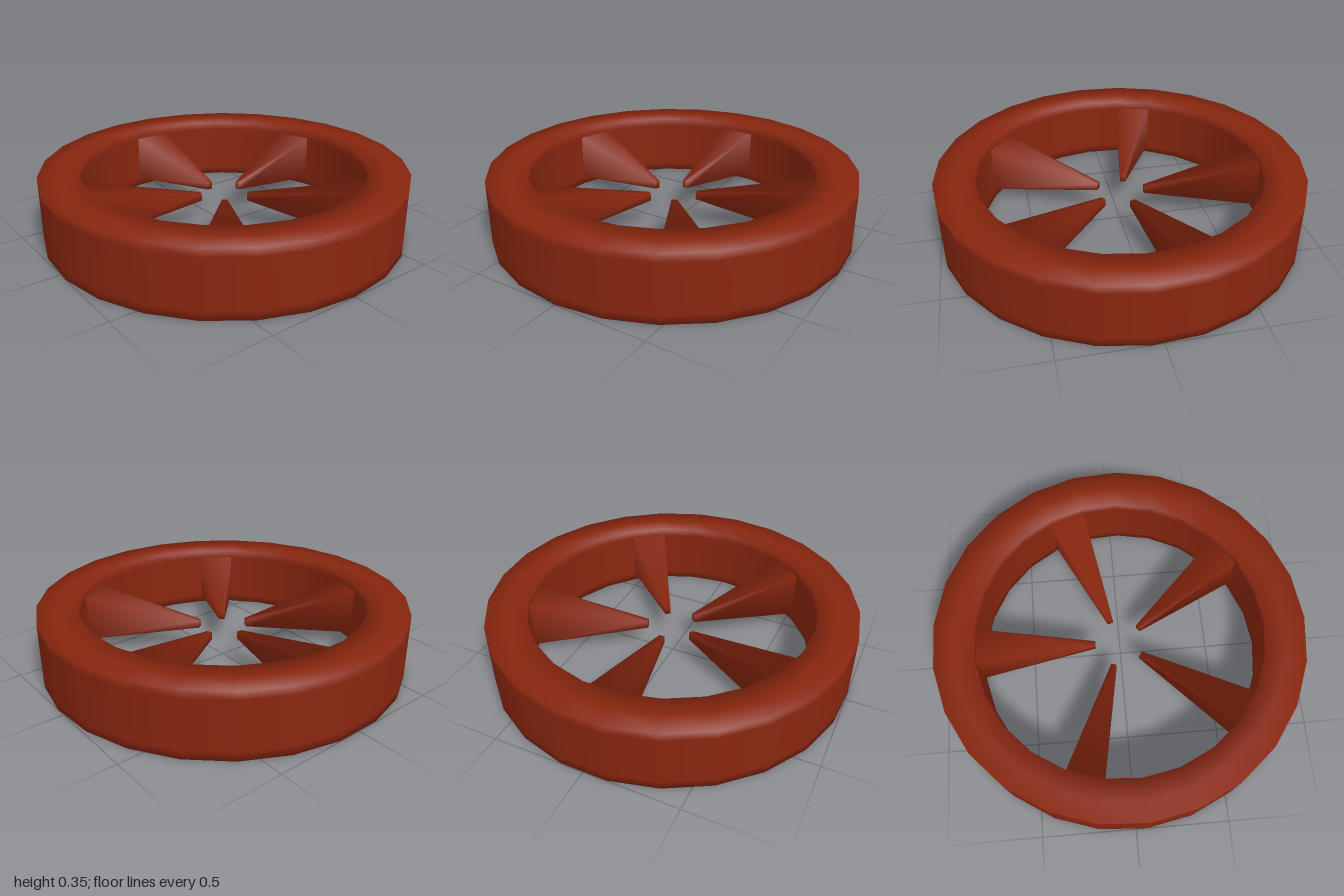
import * as THREE from 'three';

const SIDES = 25;
const OUTER = 1.002, INNER = 0.784, HEIGHT = 0.355, LOOP = 0.045;
const MID = (OUTER + INNER) / 2;

// Rim: cross-section as [radius, height, normal out, normal up], softly shaded corners
function rimGeometry() {
  const section = [
    [MID, 0, 0, -1], [OUTER, 0, 1, -1], [OUTER, LOOP, 1, 0],
    [OUTER, HEIGHT - LOOP, 1, 0], [OUTER, HEIGHT, 1, 1], [MID, HEIGHT, 0, 1],
    [INNER, HEIGHT, -1, 1], [INNER, HEIGHT - LOOP, -1, 0],
    [INNER, LOOP, -1, 0], [INNER, 0, -1, -1], [MID, 0, 0, -1],
  ];
  const geo = new THREE.LatheGeometry(section.map(([r, y]) => new THREE.Vector2(r, y)), SIDES);
  const n = new THREE.Vector3();
  for (let i = 0; i < geo.attributes.normal.count; i++) {
    const [, , out, up] = section[i % section.length];
    const a = Math.floor(i / section.length) / SIDES * Math.PI * 2;
    n.set(out * Math.sin(a), up, out * Math.cos(a)).normalize();
    geo.attributes.normal.setXYZ(i, n.x, n.y, n.z);
  }
  return geo;
}

// Spoke: a tapered block growing inward from one facet of the rim, softly shaded
function spokeGeometry() {
  const geo = new THREE.BoxGeometry(2, 2, 2);
  const { position, normal } = geo.attributes;
  const half = Math.PI / SIDES;
  const n = new THREE.Vector3();
  for (let i = 0; i < position.count; i++) {
    const sx = position.getX(i), sy = position.getY(i);
    if (position.getZ(i) < 0) {
      position.setXYZ(i, sx * INNER * Math.sin(half),
        HEIGHT / 2 + sy * (HEIGHT / 2 - LOOP), -INNER * Math.cos(half));
      n.set(sx * 0.6, sy * 0.6, 1.2).normalize();
    } else {
      position.setXYZ(i, sx * 0.015, HEIGHT / 2 + sy * 0.02, -0.136);
      n.set(sx, sy, 1).normalize();
    }
    normal.setXYZ(i, n.x, n.y, n.z);
  }
  return geo;
}

export function createModel() {
  const group = new THREE.Group();
  group.name = 'spokedRing';
  const rust = new THREE.MeshStandardMaterial({ color: 0x88260f });
  rust.name = 'rust red';

  // centres the odd-sided ring front to back
  const wheel = new THREE.Group();
  wheel.name = 'wheel';
  wheel.position.z = -OUTER * (1 - Math.cos(Math.PI / SIDES)) / 2;
  group.add(wheel);

  const rim = new THREE.Mesh(rimGeometry(), rust);
  rim.name = 'rim';
  wheel.add(rim);

  // five spokes that stop short of the open centre
  const geo = spokeGeometry();
  for (let i = 0; i < 5; i++) {
    const spoke = new THREE.Mesh(geo, rust);
    spoke.name = `spoke${i + 1}`;
    spoke.rotation.y = i * Math.PI * 2 / 5;
    wheel.add(spoke);
  }
  return group;
}
